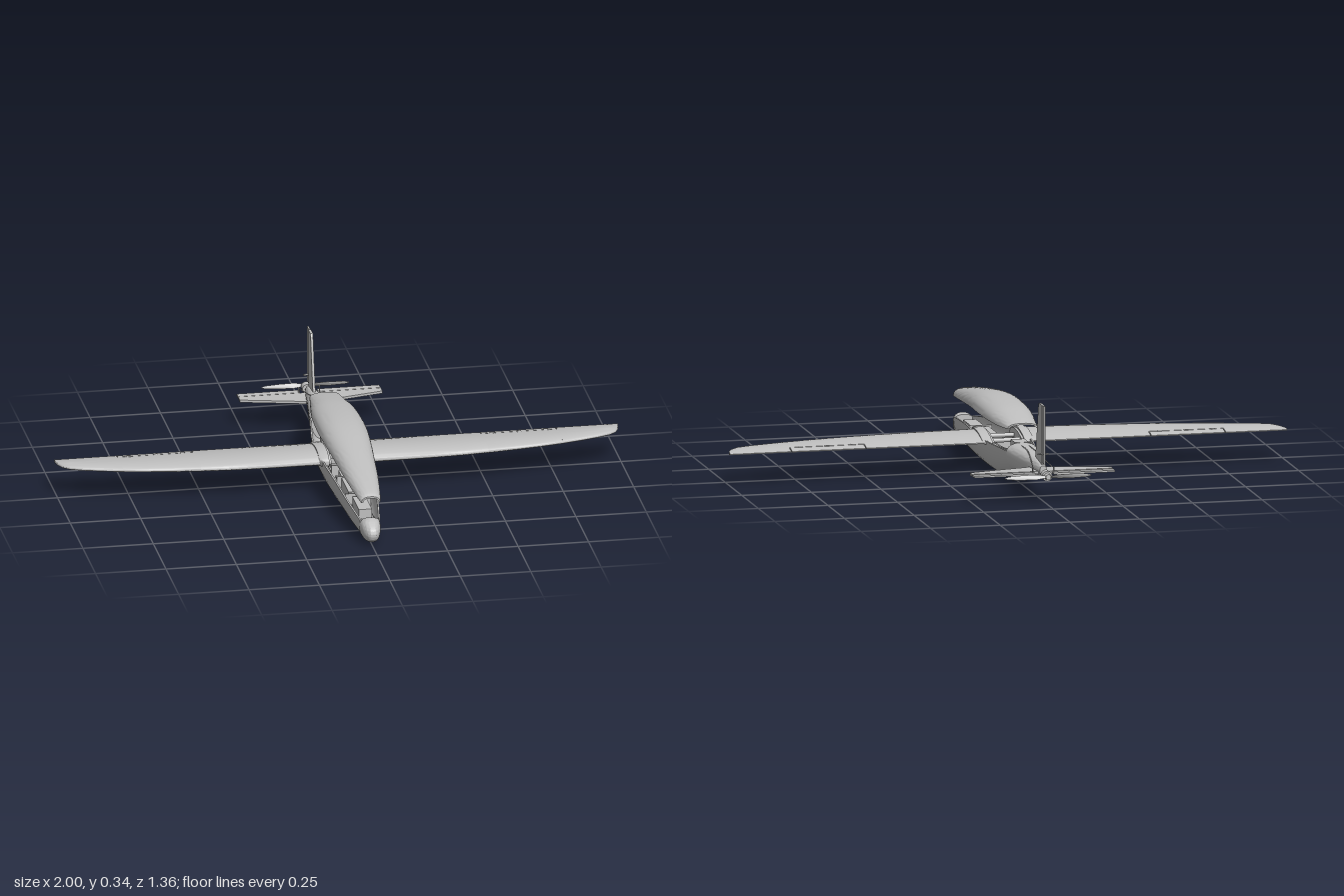
import * as THREE from 'three';
import { toCreasedNormals } from 'three/addons/utils/BufferGeometryUtils.js';

const V = (x, y, z) => new THREE.Vector3(x, y, z);

// Skin through rings of equal length; each end is capped by pairing point i with point N-1-i.
function loft(rings, crease = 0.7) {
  const pos = [], n = rings[0].length;
  let volume = 0;
  const tri = (a, b, c) => {
    volume += a.dot(b.clone().cross(c));
    pos.push(a, b, c);
  };
  const quad = (a, b, c, d) => { tri(a, b, c); tri(a, c, d); };
  for (let r = 0; r < rings.length - 1; r++)
    for (let i = 0; i < n; i++) {
      const j = (i + 1) % n;
      quad(rings[r][i], rings[r][j], rings[r + 1][j], rings[r + 1][i]);
    }
  const first = rings[0], last = rings[rings.length - 1];
  for (let i = 0; i < n / 2 - 1; i++) {
    quad(first[i], first[n - 1 - i], first[n - 2 - i], first[i + 1]);
    quad(last[i + 1], last[n - 2 - i], last[n - 1 - i], last[i]);
  }
  if (volume < 0)
    for (let i = 0; i < pos.length; i += 3) [pos[i], pos[i + 1]] = [pos[i + 1], pos[i]];
  return toCreasedNormals(new THREE.BufferGeometry().setFromPoints(pos), crease);
}

// Smoothly resample rows whose first column is z.
function smoothRows(rows, count) {
  const curves = rows[0].slice(1).map((_, c) =>
    new THREE.SplineCurve(rows.map(r => new THREE.Vector2(r[0], r[c + 1]))));
  return Array.from({ length: count + 1 }, (_, i) => {
    const p = curves.map(c => c.getPoint(i / count));
    return [p[0].x, ...p.map(q => q.y)];
  });
}

const bulge = v => Math.sign(v) * Math.pow(Math.abs(v), 0.85);

// Half shell with wall thickness; rows are [z, half width, extreme y, rim y].
function shell(rows) {
  const N = 22, t = 0.006;
  return loft(smoothRows(rows, 44).map(([z, w, e, rim]) => {
    const arc = k => Array.from({ length: N + 1 }, (_, i) => {
      const a = Math.PI * i / N;
      return V((w - k) * bulge(Math.cos(a)), rim + (e - rim - Math.sign(e - rim) * k) * bulge(Math.sin(a)), z);
    });
    return [...arc(0), ...arc(t).reverse()];
  }));
}

// Closed body; rows are [z, half width, bottom, top, widest y].
function body(rows, count = 24) {
  const N = 36;
  return loft(smoothRows(rows, count).map(([z, w, b, t, c]) =>
    Array.from({ length: N }, (_, i) => {
      const a = (i + 0.5) * 2 * Math.PI / N, s = bulge(Math.sin(a));
      return V(w * bulge(Math.cos(a)), c + s * (s > 0 ? t - c : c - b), z);
    })));
}

// Aerofoil ring at span x, between chord positions from (rear) and to (front).
function foil(x, lead, trail, thick, from = trail, to = lead, y = 0.112) {
  const N = 14, up = [], down = [];
  for (let i = 0; i <= N; i++) {
    const z = from + (to - from) * Math.sin(i / N * Math.PI / 2);
    const u = THREE.MathUtils.clamp((lead - z) / (lead - trail), 0, 1);
    const h = thick * (1.48 * Math.sqrt(u) - 0.63 * u - 1.76 * u * u + 1.42 * u ** 3 - 0.49 * u ** 4) + 0.0012;
    const camber = 0.008 * u * (1 - u) * 4 * (thick / 0.038);
    up.push(V(x, y + camber + h, z));
    down.push(V(x, y + camber - h, z));
  }
  return [...up, ...down.reverse()];
}

const edge = [[0.05, 0.122], [0.3, 0.122], [0.42, 0.118], [0.51, 0.111], [0.61, 0.1], [0.7, 0.087], [0.78, 0.071],
  [0.85, 0.054], [0.91, 0.036], [0.955, 0.018], [0.98, 0], [0.993, -0.025], [1, -0.055]];
const TRAIL = -0.076, HINGE = -0.04;
const wingThick = x => x > 0.97 ? 0.012 - (x - 0.97) * 0.22 : 0.037 - 0.022 * x;

export function createModel() {
  const model = new THREE.Group();
  const grey = new THREE.MeshStandardMaterial({ color: 0xbfbfbf });
  grey.name = 'light grey';
  const add = (name, geo, x = 0, y = 0, z = 0) => {
    const m = new THREE.Mesh(geo, grey);
    m.name = name;
    m.position.set(x, y, z);
    model.add(m);
    return m;
  };
  const box = (name, w, h, d, x, y, z) => add(name, new THREE.BoxGeometry(w, h, d), x, y, z);
  const rod = (name, pts, r) =>
    add(name, new THREE.TubeGeometry(new THREE.CatmullRomCurve3(pts.map(p => V(...p))), 16, r, 6));
  const plate = (pts, t) => new THREE.ExtrudeGeometry(
    new THREE.Shape(pts.map(p => new THREE.Vector2(...p))), { depth: t, bevelEnabled: false }).translate(0, 0, -t / 2);
  const along = (name, r1, r2, len, y, z) =>
    add(name, new THREE.CylinderGeometry(r1, r2, len, 24).rotateX(Math.PI / 2), 0, y, z);

  // Fuselage: open hull, nose, tail and lifted canopy
  add('hull', shell([[0.605, 0.036, 0.005, 0.079], [0.46, 0.056, 0.002, 0.098], [0.3, 0.07, 0, 0.112],
    [0.12, 0.083, 0, 0.12], [-0.05, 0.084, 0.002, 0.121], [-0.14, 0.076, 0.008, 0.121],
    [-0.21, 0.065, 0.023, 0.121], [-0.28, 0.055, 0.042, 0.121]]));
  add('nose', body([[0.6, 0.037, 0.005, 0.086, 0.06], [0.625, 0.034, 0.007, 0.09, 0.055],
    [0.65, 0.028, 0.012, 0.079, 0.05], [0.67, 0.018, 0.024, 0.066, 0.046],
    [0.678, 0.009, 0.035, 0.056, 0.045], [0.68, 0.001, 0.044, 0.046, 0.045]]));
  add('tailBoom', body([[-0.275, 0.056, 0.041, 0.148, 0.115], [-0.33, 0.049, 0.049, 0.148, 0.113],
    [-0.42, 0.037, 0.056, 0.145, 0.11], [-0.52, 0.024, 0.069, 0.138, 0.108],
    [-0.57, 0.018, 0.082, 0.132, 0.106], [-0.6, 0.013, 0.093, 0.126, 0.106]]));
  add('canopy', shell([[0.622, 0.033, 0.171, 0.149], [0.59, 0.04, 0.184, 0.155], [0.46, 0.056, 0.21, 0.17],
    [0.3, 0.07, 0.236, 0.186], [0.16, 0.081, 0.253, 0.198], [0.04, 0.085, 0.257, 0.2],
    [-0.1, 0.08, 0.25, 0.199], [-0.2, 0.067, 0.236, 0.197], [-0.288, 0.054, 0.219, 0.201]]));

  // Wings with a notch for each aileron
  for (const s of [1, -1]) {
    const side = s > 0 ? 'left' : 'right';
    const rings = [];
    for (const [x, lead] of edge) {
      const ring = rear => rings.push(foil(s * x, lead, TRAIL, wingThick(x), rear));
      if (x === 0.51) { ring(TRAIL); ring(HINGE); }
      else if (x === 0.78) { ring(HINGE); ring(TRAIL); }
      else ring(x > 0.51 && x < 0.78 ? HINGE : TRAIL);
    }
    add(side + 'Wing', loft(rings, 0.6));
    add(side + 'Aileron', loft([[0.513, 0.111], [0.645, 0.096], [0.777, 0.072]].map(([x, lead]) =>
      foil(s * x, lead, TRAIL, wingThick(x), TRAIL, HINGE - 0.003)), 0.6));
    for (const x of [0.55, 0.645, 0.74]) box(side + 'Hinge', 0.016, 0.004, 0.012, s * x, 0.121, HINGE);
    add(side + 'RootFairing', loft([[0.058, 1], [0.084, 0.98], [0.092, 0.9]].map(([x, k]) =>
      foil(s * x, 0.132 * k, -0.086 * k, 0.046 * k))));

    // Stabiliser, elevator, propeller blade
    add(side + 'Stabiliser', plate([[0.012 * s, -0.49], [0.03 * s, -0.502], [0.253 * s, -0.556],
      [0.253 * s, -0.588], [0.012 * s, -0.588]], 0.009).rotateX(Math.PI / 2), 0, 0.1, 0);
    add(side + 'Elevator', plate([[0.032 * s, -0.594], [0.253 * s, -0.594], [0.253 * s, -0.621],
      [0.032 * s, -0.621]], 0.006).rotateX(Math.PI / 2), 0, 0.1, 0);
    add(side + 'Blade', loft([[0.006, 0.006, 1], [0.04, 0.01, 0.6], [0.09, 0.009, 0.35], [0.14, 0.006, 0.25],
      [0.155, 0.002, 0.2]].map(([x, c, tilt]) => Array.from({ length: 10 }, (_, i) => {
      const a = (i + 0.5) * Math.PI / 5, u = c * Math.cos(a), v = 0.0016 * Math.sin(a), q = s * tilt;
      return V(s * x, 0.1 + u * Math.cos(q) - v * Math.sin(q), -0.672 + u * Math.sin(q) + v * Math.cos(q));
    }))));
    rod(side + 'Pushrod', [[0.012 * s, 0.146, -0.3], [0.014 * s, 0.146, -0.42], [0.025 * s, 0.13, -0.52],
      [0.036 * s, 0.118, -0.594]], 0.0018);
    box(side + 'ElevatorHorn', 0.003, 0.02, 0.01, 0.037 * s, 0.11, -0.598);
    box(side + 'Servo', 0.022, 0.03, 0.042, 0.024 * s, 0.085, -0.17);
    add(side + 'ServoArm', new THREE.CylinderGeometry(0.007, 0.007, 0.012, 12), 0.024 * s, 0.105, -0.18);
    box(side + 'Rail', 0.006, 0.008, 0.72, 0.027 * s, 0.048, 0.16);
  }

  // Fin and rudder
  add('fin', plate([[-0.495, 0.13], [-0.542, 0.328], [-0.549, 0.34], [-0.588, 0.34], [-0.588, 0.115]], 0.009)
    .rotateY(-Math.PI / 2));
  add('rudder', plate([[-0.592, 0.135], [-0.592, 0.34], [-0.621, 0.34], [-0.621, 0.135]], 0.006)
    .rotateY(-Math.PI / 2));
  box('rudderHorn', 0.04, 0.003, 0.012, 0, 0.167, -0.598);

  // Rear motor
  along('motorShaft', 0.008, 0.008, 0.05, 0.1, -0.61);
  along('motor', 0.018, 0.018, 0.03, 0.1, -0.645);
  along('propellerHub', 0.012, 0.009, 0.016, 0.1, -0.67);

  // Equipment inside the open hull
  box('equipmentTray', 0.07, 0.005, 0.78, 0, 0.042, 0.16);
  box('frontBattery', 0.046, 0.035, 0.13, 0, 0.066, 0.45);
  box('mainBattery', 0.06, 0.04, 0.14, 0, 0.068, 0.28);
  box('receiver', 0.045, 0.022, 0.06, 0, 0.066, 0.14);
  box('autopilot', 0.05, 0.03, 0.07, 0, 0.065, -0.06);
  box('speedController', 0.05, 0.03, 0.065, 0, 0.134, -0.243);
  for (const z of [0.37, 0.2, 0.09, -0.11]) box('frame', 0.09, 0.05, 0.005, 0, 0.065, z);
  for (const z of [0.06, -0.03])
    add('wingSpar', new THREE.CylinderGeometry(0.008, 0.008, 0.2, 16).rotateZ(Math.PI / 2), 0, 0.112, z);
  rod('cable', [[0.02, 0.09, 0.36], [0.03, 0.095, 0.2], [0.015, 0.085, 0.1], [0.01, 0.09, -0.08], [0, 0.12, -0.22]], 0.003);

  return model;
}
